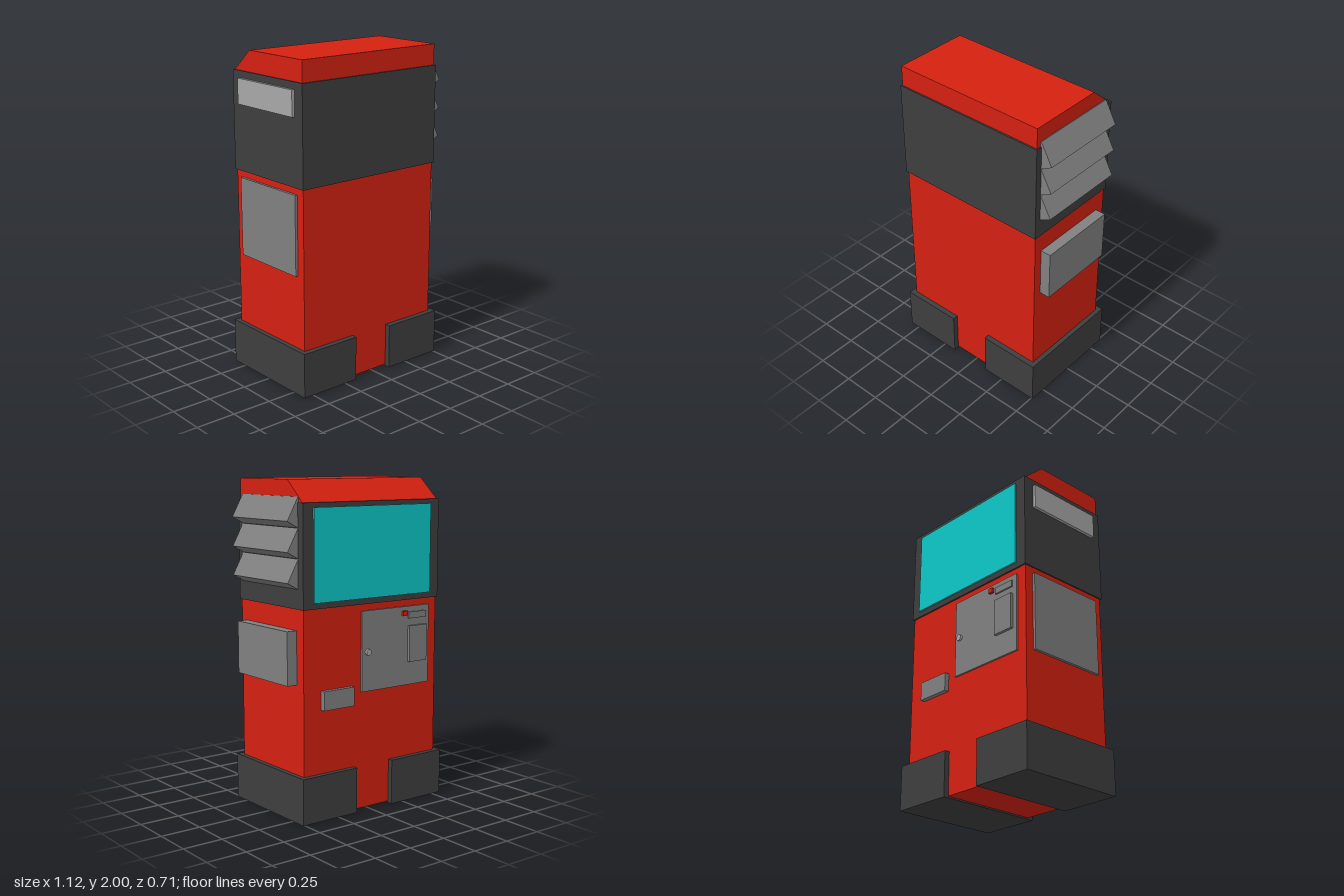
import * as THREE from 'three';

export function createModel() {
  const group = new THREE.Group();
  const paint = (color) => new THREE.MeshStandardMaterial({ color, flatShading: true });
  const red = paint(0xd42010), dark = paint(0x3e3e3e), grey = paint(0x808080);
  const light = paint(0xa8a8a8), teal = paint(0x0ec8c8);

  const add = (name, geometry, material) => {
    const mesh = new THREE.Mesh(geometry, material);
    mesh.name = name;
    group.add(mesh);
    return mesh;
  };
  // Box given by its extents on each axis
  const box = (name, material, [x0, x1], [y0, y1], [z0, z1]) =>
    add(name, new THREE.BoxGeometry(x1 - x0, y1 - y0, z1 - z0), material)
      .position.set((x0 + x1) / 2, (y0 + y1) / 2, (z0 + z1) / 2);
  const prism = (points, depth) => new THREE.ExtrudeGeometry(
    new THREE.Shape(points.map(([x, y]) => new THREE.Vector2(x, y))),
    { depth, bevelEnabled: false });

  // Cabinet: side profile with a sloped top edge at the back, extruded along x
  const body = prism([[-0.32, 0.01], [0.322, 0.01], [0.322, 1.87], [0.172, 2], [-0.32, 2]], 1.015);
  body.rotateY(Math.PI / 2);
  body.translate(-0.535, 0, 0);
  add('cabinet', body, red);

  // Dark band around the head, with the screen on the back
  box('headBand', dark, [-0.543, 0.487], [1.265, 1.872], [-0.332, 0.33]);
  box('screen', teal, [-0.47, 0.415], [1.3, 1.845], [-0.342, -0.32]);

  // Two feet wrapping the base
  box('rightFoot', dark, [-0.565, -0.163], [0, 0.28], [-0.355, 0.355]);
  box('leftFoot', dark, [0.11, 0.51], [0, 0.28], [-0.355, 0.355]);

  // Slanted louvers on the left side
  for (let i = 0; i < 3; i++) {
    const y = 1.77 - i * 0.175;
    const louver = add('louver', prism(
      [[0.48, y - 0.043], [0.56, y], [0.485, y + 0.135], [0.48, y + 0.135]], 0.573), grey);
    louver.position.z = -0.283;
  }
  box('sideBox', grey, [0.47, 0.547], [0.82, 1.14], [-0.255, 0.265]);

  // Panels on the right side
  box('upperSidePanel', light, [-0.562, -0.53], [1.675, 1.83], [-0.26, 0.26]);
  box('lowerSidePanel', grey, [-0.552, -0.53], [0.735, 1.225], [-0.265, 0.265]);

  // Service door on the back, with its fittings
  box('door', grey, [-0.47, 0.06], [0.735, 1.225], [-0.334, -0.31]);
  box('reader', grey, [-0.44, -0.3], [0.88, 1.105], [-0.352, -0.32]);
  box('slot', grey, [-0.44, -0.3], [1.15, 1.19], [-0.345, -0.32]);
  box('button', red, [-0.28, -0.25], [1.17, 1.2], [-0.352, -0.32]);
  const knob = add('knob', new THREE.CylinderGeometry(0.019, 0.019, 0.03, 16), light);
  knob.rotation.x = Math.PI / 2;
  knob.position.set(0.017, 0.975, -0.335);
  box('tray', grey, [0.13, 0.355], [0.665, 0.78], [-0.352, -0.31]);

  return group;
}
